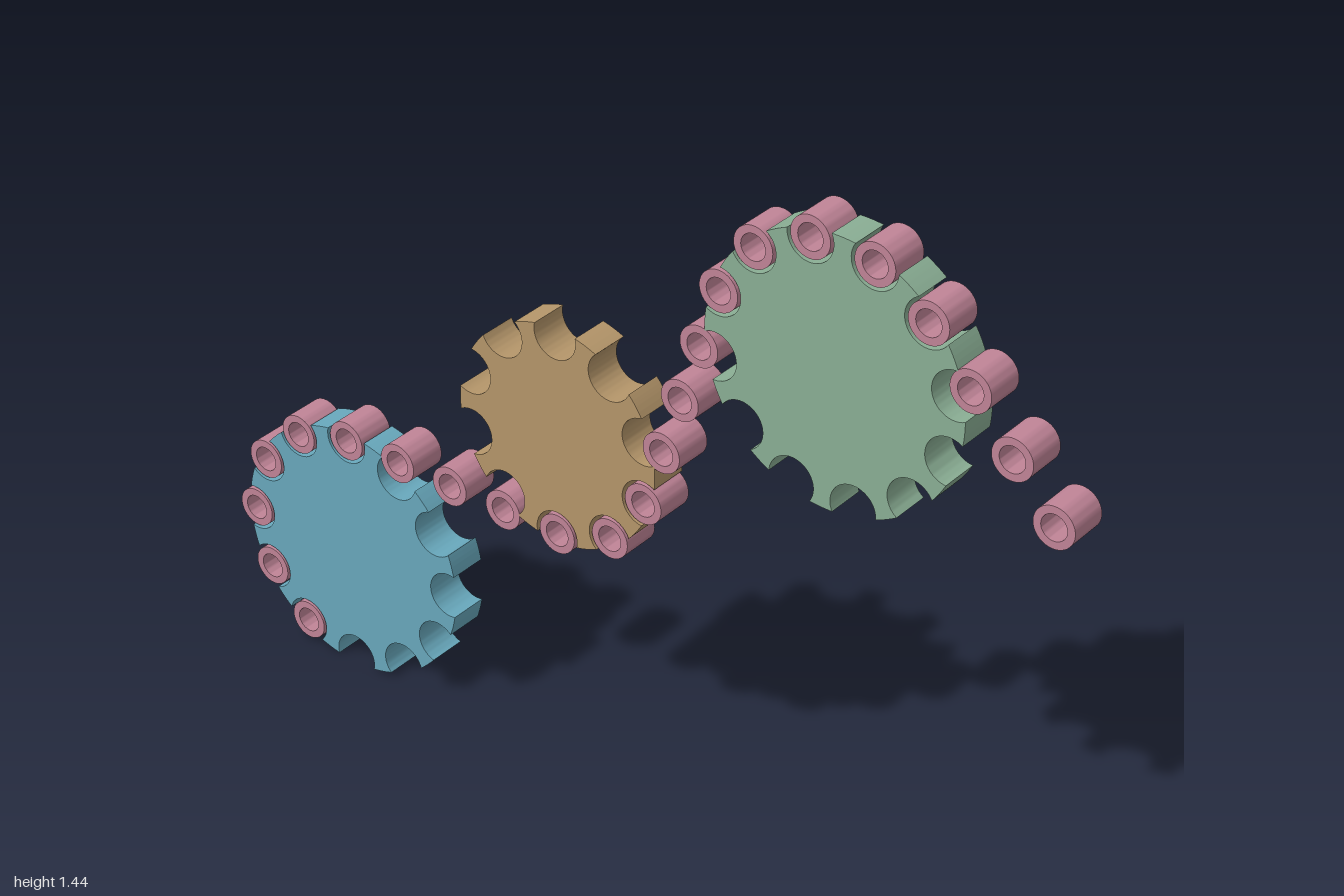
import * as THREE from 'three';
import { toCreasedNormals } from 'three/addons/utils/BufferGeometryUtils.js';

const PITCH = 0.137;      // spacing of the chain rollers
const DEPTH = 0.085;
const ROLLER = 0.043;
const BORE = 0.027;
const GROOVE = 0.05;      // radius of the seats between the teeth
const TIP = 0.017;        // tooth height above the pitch circle

const rad = THREE.MathUtils.degToRad;
const dir = (deg) => new THREE.Vector2(Math.cos(rad(deg)), Math.sin(rad(deg)));
const pitchRadius = (teeth) => PITCH / (2 * Math.sin(Math.PI / teeth));

// Extrude a shape centred on z = 0, smooth on curves and sharp on edges
function extrude(shape, curveSegments) {
  const geo = new THREE.ExtrudeGeometry(shape, { depth: DEPTH, bevelEnabled: false, curveSegments });
  geo.translate(0, 0, -DEPTH / 2);
  return toCreasedNormals(geo, rad(35));
}

// Solid disc with round roller seats cut into its rim
function sprocketGeometry(teeth, phase) {
  const p = pitchRadius(teeth), r = p + TIP, step = 2 * Math.PI / teeth;
  const a = Math.acos((p * p + r * r - GROOVE * GROOVE) / (2 * p * r)); // half opening at the rim
  const b = Math.atan2(r * Math.sin(a), r * Math.cos(a) - p);           // same corner seen from the seat
  const shape = new THREE.Shape();
  for (let i = 0; i < teeth; i++) {
    const g = rad(phase) + i * step;
    shape.absarc(p * Math.cos(g), p * Math.sin(g), GROOVE, g - b, g + b, true);
    shape.absarc(0, 0, r, g + a, g + step - a, false);
  }
  shape.closePath();
  return extrude(shape, 16);
}

function rollerGeometry() {
  const ring = new THREE.Shape().absarc(0, 0, ROLLER, 0, 2 * Math.PI, false);
  ring.holes.push(new THREE.Path().absarc(0, 0, BORE, 0, 2 * Math.PI, true));
  return extrude(ring, 32);
}

export function createModel() {
  const group = new THREE.Group();
  const big = pitchRadius(12), small = pitchRadius(10);

  // Sprocket centres follow from the straight chain runs, four pitches each
  const lower = new THREE.Vector2(-0.694, 0.278);
  const middle = lower.clone().add(new THREE.Vector2(4 * PITCH, big + small));
  const upper = middle.clone()
    .addScaledVector(dir(-18), small)
    .addScaledVector(dir(72), 4 * PITCH)
    .addScaledVector(dir(162), -big);

  // Sprockets
  const sprockets = [
    ['lowerSprocket', lower, 12, 0, 0x68a8bc],
    ['middleSprocket', middle, 10, 90, 0xb5966a],
    ['upperSprocket', upper, 12, 12, 0x8aae94],
  ];
  for (const [name, centre, teeth, phase, color] of sprockets) {
    const mesh = new THREE.Mesh(sprocketGeometry(teeth, phase), new THREE.MeshStandardMaterial({ color }));
    mesh.name = name;
    mesh.position.set(centre.x, centre.y, 0);
    group.add(mesh);
  }

  // Chain path: wraps round each sprocket joined by straight runs
  const points = [];
  const wrap = (centre, radius, from, step, count) => {
    for (let i = 0; i < count; i++) points.push(centre.clone().addScaledVector(dir(from + i * step), radius));
  };
  const run = (angle, count) => {
    const start = points[points.length - 1];
    for (let i = 1; i <= count; i++) points.push(start.clone().addScaledVector(dir(angle), i * PITCH));
  };
  wrap(lower, big, 240, -30, 6);
  run(0, 3);
  wrap(middle, small, 270, 36, 3);
  run(72, 3);
  wrap(upper, big, 162, -30, 5);
  run(-48, 3);

  // Chain rollers
  const chain = new THREE.Group();
  chain.name = 'chain';
  const geo = rollerGeometry();
  const material = new THREE.MeshStandardMaterial({ color: 0xc08497 });
  for (const p of points) {
    const roller = new THREE.Mesh(geo, material);
    roller.name = 'chainRoller';
    roller.position.set(p.x, p.y, 0);
    chain.add(roller);
  }
  group.add(chain);
  return group;
}
